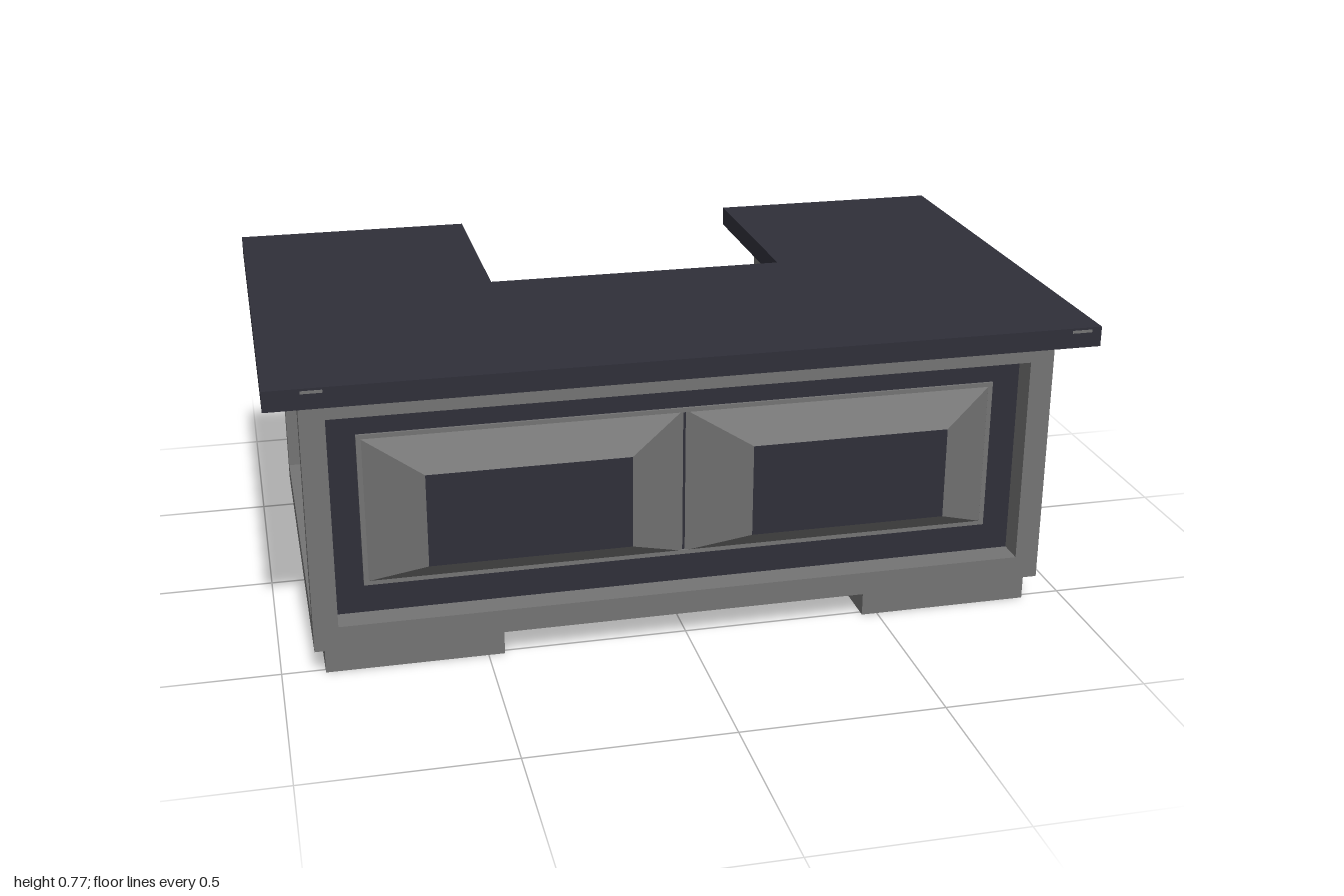
import * as THREE from 'three';

export function createModel() {
  const group = new THREE.Group();
  const grey = new THREE.MeshStandardMaterial({ color: 0x747474 });
  grey.name = 'grey';
  const dark = new THREE.MeshStandardMaterial({ color: 0x2f2f39 });
  dark.name = 'dark slate';

  function add(name, geometry, material, x = 0, y = 0, z = 0, parent = group) {
    const mesh = new THREE.Mesh(geometry, material);
    mesh.name = name;
    mesh.position.set(x, y, z);
    parent.add(mesh);
    return mesh;
  }

  // U-shaped slab, open towards the back, lying between y0 and y1
  function uSlab(halfX, front, back, notchX, notchZ, y0, y1) {
    const pts = [
      [-halfX, -front], [halfX, -front], [halfX, -back], [notchX, -back],
      [notchX, -notchZ], [-notchX, -notchZ], [-notchX, -back], [-halfX, -back],
    ].map(([x, y]) => new THREE.Vector2(x, y));
    const geo = new THREE.ExtrudeGeometry(new THREE.Shape(pts), { depth: y1 - y0, bevelEnabled: false });
    return geo.rotateX(-Math.PI / 2).translate(0, y0, 0);
  }

  // Rectangular frame facing +z, with an off-centre rectangular hole
  function frame(halfW, y0, y1, holeW, h0, h1, depth) {
    const rect = (w, a, b) => [[-w, a], [w, a], [w, b], [-w, b]].map(([x, y]) => new THREE.Vector2(x, y));
    const shape = new THREE.Shape(rect(halfW, y0, y1));
    shape.holes.push(new THREE.Path(rect(holeW, h0, h1).reverse()));
    return new THREE.ExtrudeGeometry(shape, { depth, bevelEnabled: false });
  }

  // Worktop and carcass
  add('worktop', uSlab(1, 0.617, -0.617, 0.385, -0.06, 0.72, 0.77), dark);
  add('carcass', uSlab(0.87, 0.467, -0.537, 0.46, 0.02, 0.07, 0.72), grey);

  // Front: frame, recessed backing, thin rim and two raised panels
  add('frontFrame', frame(0.87, 0.07, 0.72, 0.86, 0.13, 0.66, 0.07), grey, 0, 0, 0.467);
  add('frontBacking', new THREE.BoxGeometry(1.72, 0.53, 0.004), dark, 0, 0.395, 0.469);
  add('frontRim', frame(0.79, 0.203, 0.592, 0.778, 0.214, 0.581, 0.008), grey, 0, 0, 0.469);
  for (const side of [-1, 1]) {
    const geo = new THREE.BoxGeometry(0.79, 0.378, 0.096);
    const pos = geo.attributes.position;
    for (let i = 0; i < pos.count; i++) {
      if (pos.getZ(i) > 0) pos.setXY(i, Math.sign(pos.getX(i)) * 0.246, Math.sign(pos.getY(i)) * 0.117);
    }
    geo.computeVertexNormals();
    // only the flat face (+z) is dark
    add('raisedPanel', geo, [grey, grey, grey, grey, dark, grey], side * 0.395, 0.397, 0.517);
  }

  // Sides: frame with recessed panel and thin rim
  for (const side of [-1, 1]) {
    const panel = new THREE.Group();
    panel.name = side > 0 ? 'leftSide' : 'rightSide';
    panel.position.x = side * 0.87;
    panel.rotation.y = side * Math.PI / 2;
    add('sideFrame', frame(0.537, 0.07, 0.72, 0.48, 0.13, 0.66, 0.05), grey, 0, 0, 0, panel);
    add('sideBacking', new THREE.BoxGeometry(0.96, 0.53, 0.004), dark, 0, 0.395, 0.002, panel);
    add('sideRim', frame(0.406, 0.203, 0.588, 0.394, 0.215, 0.576, 0.006), grey, 0, 0, 0.003, panel);
    group.add(panel);
  }

  // Feet
  for (const x of [-1, 1]) {
    for (const z of [-1, 1]) {
      add('foot', new THREE.BoxGeometry(0.435, 0.07, 0.26), grey, x * 0.6775, 0.035, z * 0.385);
    }
  }

  // Small chips on the worktop edge
  for (const [x, z] of [[-0.89, 0.617], [0.95, 0.617], [-0.84, -0.617]]) {
    add('edgeChip', new THREE.BoxGeometry(0.05, 0.007, 0.002), grey, x, 0.761, z);
  }

  return group;
}
